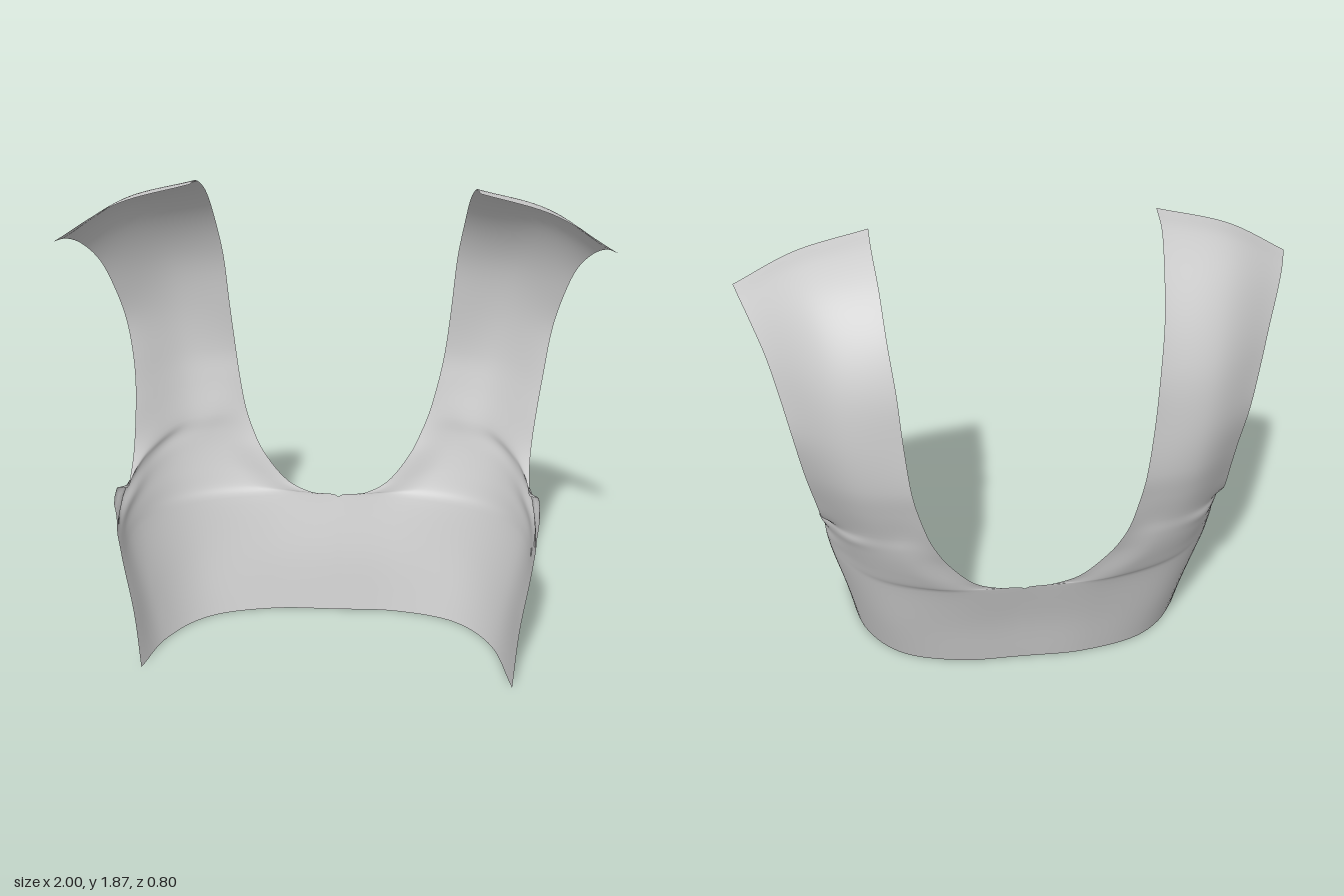
import * as THREE from 'three';
import { mergeVertices } from 'three/addons/utils/BufferGeometryUtils.js';

const ACROSS = 32; // divisions from the neckline (or centre) to the outer edge
const PER_ROW = 5; // divisions between neighbouring cross-sections

// Cross-sections of one half, hem to shoulder end, each from inner to outer edge
const bodyRows = [
  [[0, 0, -.14], [.25, 0, -.135], [.5, 0, -.06], [.64, 0, .1], [.715, 0, .4]],
  [[0, .23, -.19], [.28, .23, -.187], [.55, .23, -.11], [.695, .23, .08], [.735, .23, .367]],
  [[0, .46, -.26], [.3, .46, -.255], [.6, .46, -.15], [.75, .46, .05], [.765, .42, .343]],
  [[.1, .475, -.264], [.36, .5, -.268], [.61, .51, -.165], [.76, .51, .05], [.775, .49, .333]],
  [[.2, .52, -.28], [.42, .57, -.283], [.63, .58, -.18], [.77, .57, .05], [.785, .57, .318]],
  [[.3, .64, -.31], [.47, .66, -.3], [.65, .66, -.2], [.775, .625, .04], [.795, .7, .22]],
  [[.34, .72, -.335], [.5, .73, -.31], [.65, .72, -.23], [.74, .69, -.08], [.775, .665, .08]],
];
const strapRows = [
  [[.37, .8, -.355], [.6, .785, -.28], [.775, .73, -.075]],
  [[.4, .93, -.38], [.61, .92, -.325], [.785, .9, -.165]],
  [[.42, 1.05, -.4], [.625, 1.05, -.355], [.8, 1.05, -.215]],
  [[.44, 1.25, -.395], [.645, 1.24, -.363], [.825, 1.22, -.24]],
  [[.455, 1.45, -.37], [.67, 1.435, -.33], [.86, 1.38, -.2]],
  [[.475, 1.62, -.295], [.7, 1.59, -.25], [.895, 1.5, -.14]],
  [[.49, 1.76, -.17], [.735, 1.71, -.135], [.94, 1.59, -.05]],
  [[.505, 1.835, -.03], [.76, 1.77, -.01], [.975, 1.635, .04]],
  [[.51, 1.855, .1], [.775, 1.78, .105], [1, 1.65, .125]],
];

const curve = (pts) => new THREE.CatmullRomCurve3(pts);

// Smooth grid of points for one half
function halfGrid() {
  const rows = [...bodyRows, ...strapRows].map((row) =>
    curve(row.map((p) => new THREE.Vector3(...p))).getSpacedPoints(ACROSS));
  const columns = [];
  for (let j = 0; j <= ACROSS; j++) {
    columns.push(curve(rows.map((r) => r[j])).getPoints((rows.length - 1) * PER_ROW));
  }
  return columns;
}

// Slight unevenness between the two sides, and cloth folds under the arm
function fitToSide(p, side) {
  const q = p.clone();
  q.x = Math.max(0, q.x);
  const low = 1 - THREE.MathUtils.smoothstep(q.y, .6, 1.1);
  q.x -= side * .025 * low * q.x / .72;
  q.y += -side * .01 * THREE.MathUtils.smoothstep(q.y, 1.4, 1.8);
  if (side < 0 && q.z > .1 && q.y < 1) q.z = .1 + (q.z - .1) * .75;
  const fold = Math.exp(-(((q.y - .64) / .07) ** 2) - (((q.z - .12) / .13) ** 2));
  if (q.x > .6) q.x += .012 * fold * Math.sin(q.y * 60 + q.z * 25);
  q.x *= side;
  return q;
}

// Both halves in one sheet, joined along the centre
function panelGeometry() {
  const grid = halfGrid();
  const n = grid[0].length;
  const positions = [], index = [];
  for (const side of [1, -1]) {
    const base = positions.length / 3;
    for (const column of grid) {
      for (const p of column) positions.push(...fitToSide(p, side).toArray());
    }
    for (let j = 0; j < ACROSS; j++) {
      for (let i = 0; i < n - 1; i++) {
        const a = base + j * n + i, b = a + 1, c = a + n, d = c + 1;
        if (side > 0) index.push(a, b, c, b, d, c);
        else index.push(a, c, b, b, c, d);
      }
    }
  }
  const geometry = new THREE.BufferGeometry();
  geometry.setAttribute('position', new THREE.Float32BufferAttribute(positions, 3));
  geometry.setIndex(index);
  const joined = mergeVertices(geometry, 1e-4);
  joined.computeVertexNormals();
  return joined;
}

export function createModel() {
  const group = new THREE.Group();
  group.name = 'vestBack';
  const material = new THREE.MeshStandardMaterial({ color: 0xcccccc, side: THREE.DoubleSide });
  const panel = new THREE.Mesh(panelGeometry(), material);
  panel.name = 'backPanelWithStraps';
  group.add(panel);
  return group;
}
